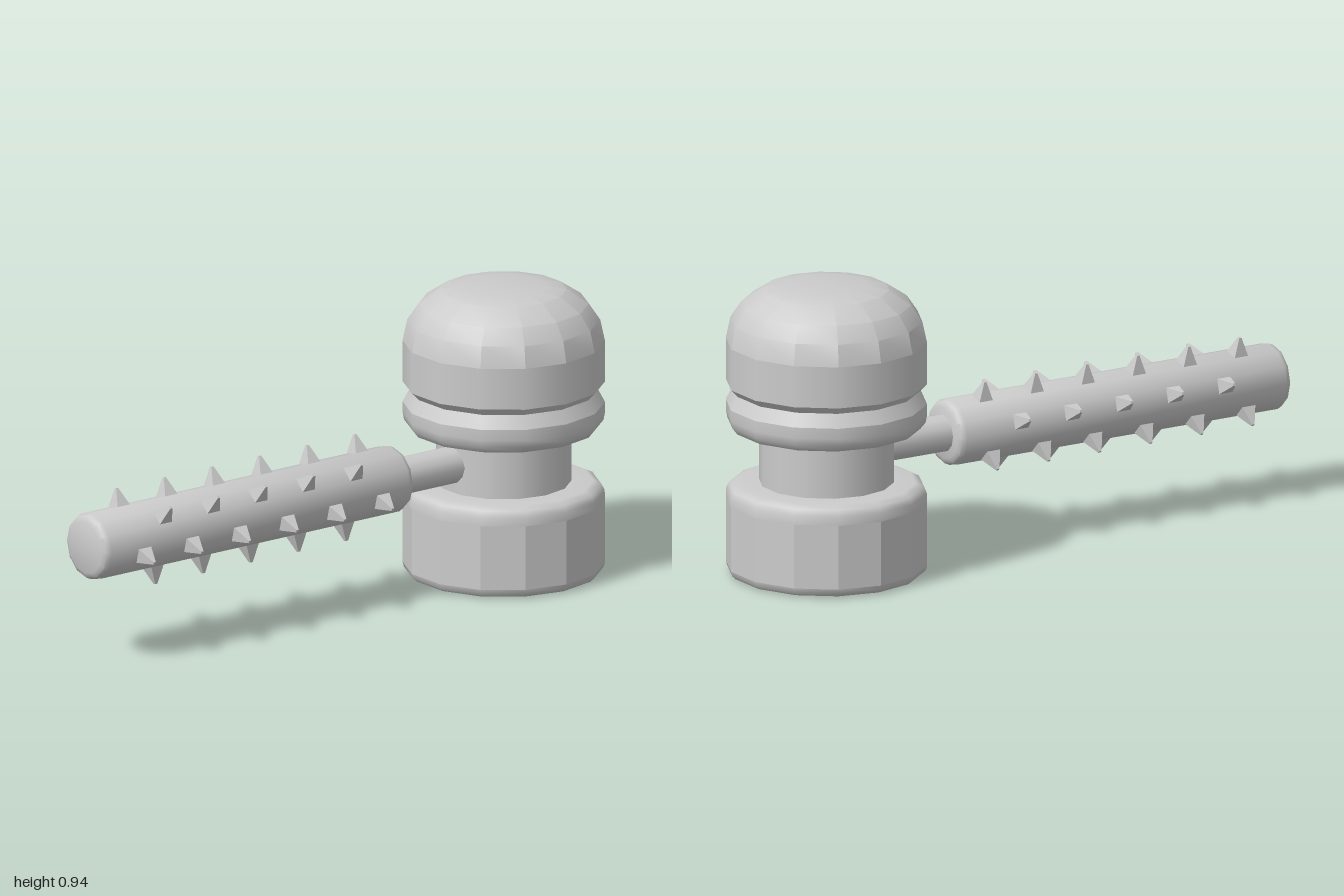
import * as THREE from 'three';
import { toCreasedNormals } from 'three/addons/utils/BufferGeometryUtils.js';

const material = new THREE.MeshStandardMaterial({ color: 0xcccccc });
const flatMaterial = new THREE.MeshStandardMaterial({ color: 0xcccccc, flatShading: true });

const HEAD_SIDES = 14;
const HANDLE_SIDES = 12;
const HEAD_Z = -0.688;
const HANDLE_Y = 0.39;

// Revolve a [radius, height] profile, listed from bottom to top.
function turned(name, profile, sides, crease) {
  const points = profile.map(([r, y]) => new THREE.Vector2(r, y));
  let geometry = new THREE.LatheGeometry(points, sides, Math.PI / 2);
  if (crease) geometry = toCreasedNormals(geometry, crease);
  const mesh = new THREE.Mesh(geometry, material);
  mesh.name = name;
  return mesh;
}

function createHead() {
  const head = new THREE.Group();
  head.name = 'hammerHead';
  head.position.z = HEAD_Z;
  const add = (name, profile, crease) => head.add(turned(name, profile, HEAD_SIDES, crease));

  // Lower striking block: faceted wall between rounded rims
  add('baseUnderside', [[0, 0], [0.288, 0]]);
  add('baseLowerRim', [[0.288, 0], [0.306, 0.004], [0.317, 0.014], [0.321, 0.03]]);
  add('baseWall', [[0.321, 0.03], [0.321, 0.24]], 0.4);
  add('baseUpperRim', [[0.321, 0.24], [0.32, 0.268], [0.31, 0.288], [0.285, 0.3], [0.2, 0.3]]);

  // Narrow neck joining the two blocks
  add('neck', [[0.215, 0.28], [0.215, 0.49]]);

  // Upper block with a V-groove around it
  add('upperRim', [[0.2, 0.471], [0.27, 0.471], [0.3, 0.48], [0.316, 0.5], [0.321, 0.525], [0.321, 0.56]]);
  add('grooveLower', [[0.321, 0.56], [0.298, 0.603]]);
  add('grooveUpper', [[0.298, 0.603], [0.321, 0.627]]);
  add('upperBand', [[0.321, 0.627], [0.321, 0.762]]);

  // Domed cap, faceted low down and smooth towards the top
  add('domeCap', [
    [0.321, 0.762], [0.306, 0.832], [0.27, 0.885], [0.2, 0.932], [0.13, 0.945], [0, 0.945],
  ], 0.42);
  return head;
}

function createSpikes() {
  const spikes = new THREE.Group();
  spikes.name = 'spikes';
  const geometry = new THREE.CylinderGeometry(0.006, 0.046, 0.08, 4);
  geometry.rotateY(Math.PI / 4);
  geometry.translate(0, 0.123, 0);
  // Six rows around the grip, alternating six and five staggered spikes
  for (let row = 0; row < 6; row++) {
    const odd = row % 2;
    for (let i = 0; i < 6 - odd; i++) {
      const spike = new THREE.Mesh(geometry, flatMaterial);
      spike.name = 'spike';
      spike.rotation.z = THREE.MathUtils.degToRad(14 + row * 60);
      spike.position.z = -0.118 + (i + odd / 2) * 0.192;
      spikes.add(spike);
    }
  }
  return spikes;
}

function createHandle() {
  const handle = new THREE.Group();
  handle.name = 'handle';
  handle.position.y = HANDLE_Y;

  // Profiles run along +z once tipped forwards
  const shaft = turned('shaft', [[0.06, -0.6], [0.06, -0.23]], HANDLE_SIDES);
  const grip = turned('grip', [
    [0, -0.25], [0.085, -0.25], [0.102, -0.242], [0.109, -0.225],
    [0.109, 0.975], [0.102, 0.992], [0.085, 1], [0, 1],
  ], HANDLE_SIDES, 0.8);
  for (const part of [shaft, grip]) {
    part.rotation.x = Math.PI / 2;
    handle.add(part);
  }
  handle.add(createSpikes());
  return handle;
}

export function createModel() {
  const model = new THREE.Group();
  model.name = 'spikedHammer';
  model.add(createHead(), createHandle());
  return model;
}
